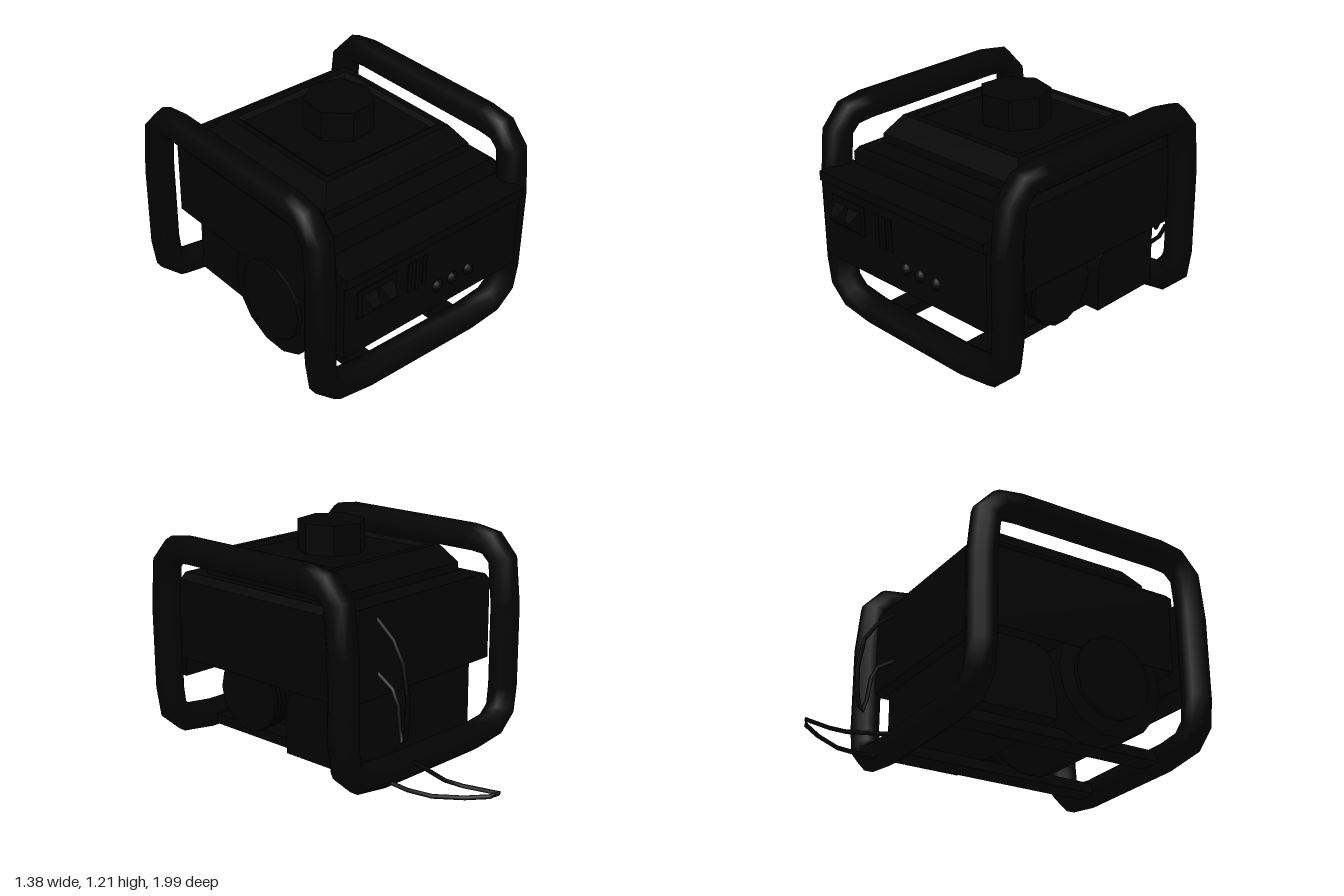
import * as THREE from 'three';

const material = new THREE.MeshStandardMaterial({ color: 0x030303 });
const flat = new THREE.MeshStandardMaterial({ color: 0x030303, flatShading: true });

// Curve through corner points, sampled exactly at each corner
class CornerPath extends THREE.Curve {
  constructor(points, closed) {
    super();
    this.points = closed ? [...points, points[0]] : points;
  }
  getPoint(t, target = new THREE.Vector3()) {
    const n = this.points.length - 1;
    const i = Math.min(Math.floor(t * n + 1e-9), n - 1);
    return target.lerpVectors(this.points[i], this.points[i + 1], t * n - i);
  }
  getPointAt(t, target) { return this.getPoint(t, target); }
  getTangentAt(t, target) { return this.getTangent(t, target); }
}

// Stack of rectangles [y, halfX, halfZ], closed at both ends
function loft(rings) {
  const corners = rings.map(([y, a, b]) => [[-a, y, b], [a, y, b], [a, y, -b], [-a, y, -b]]);
  const pos = [];
  const quad = (a, b, c, d) => pos.push(...a, ...b, ...c, ...a, ...c, ...d);
  for (let r = 0; r < corners.length - 1; r++) {
    for (let i = 0; i < 4; i++) {
      const j = (i + 1) % 4;
      quad(corners[r][i], corners[r][j], corners[r + 1][j], corners[r + 1][i]);
    }
  }
  quad(...corners[corners.length - 1]);
  quad(...[...corners[0]].reverse());
  const geo = new THREE.BufferGeometry();
  geo.setAttribute('position', new THREE.Float32BufferAttribute(pos, 3));
  geo.computeVertexNormals();
  return geo;
}

export function createModel() {
  const model = new THREE.Group();
  model.name = 'generator';
  const add = (name, geo, x = 0, y = 0, z = 0, mat = flat) => {
    const mesh = new THREE.Mesh(geo, mat);
    mesh.name = name;
    mesh.position.set(x, y, z);
    model.add(mesh);
    return mesh;
  };
  const box = (name, x0, x1, y0, y1, z0, z1) =>
    add(name, new THREE.BoxGeometry(x1 - x0, y1 - y0, z1 - z0),
      (x0 + x1) / 2, (y0 + y1) / 2, (z0 + z1) / 2);

  // Tubular frame: one closed loop from a mirrored quarter, slightly skewed
  const quarter = [
    [0.34, 0.077, 0.64], [0.52, 0.1, 0.64], [0.598, 0.17, 0.64], [0.615, 0.3, 0.64],
    [0.615, 0.75, 0.64], [0.615, 0.99, 0.615], [0.615, 1.068, 0.54], [0.615, 1.083, 0.43],
  ];
  const part = (sx, sz) => quarter.map(([x, y, z]) =>
    new THREE.Vector3(sx * x, y, 0.192 + sz * z + sx * x * 0.02));
  const loop = [...part(1, 1), ...part(1, -1).reverse(), ...part(-1, -1), ...part(-1, 1).reverse()];
  add('frame', new THREE.TubeGeometry(new CornerPath(loop, true), loop.length, 0.077, 10, true),
    0, 0, 0, material);

  // Base rails
  for (const x of [0.29, -0.29]) box('baseRail', x - 0.065, x + 0.065, 0.035, 0.09, -0.45, 0.83);

  // Body, fuel tank with sunken top, and filler cap
  add('body', loft([[0.47, 0.55, 0.595], [0.9, 0.55, 0.595], [0.935, 0.515, 0.59]]), 0.025, 0, 0.175);
  add('fuelTank', loft([
    [0.92, 0.47, 0.457], [0.98, 0.47, 0.457], [1.08, 0.395, 0.385],
    [1.08, 0.36, 0.345], [1.06, 0.335, 0.32],
  ]), 0.025, 0, 0.185);
  add('fillerCap', new THREE.CylinderGeometry(0.18, 0.18, 0.165, 7), 0.033, 1.135, 0.188)
    .rotation.y = -0.3;

  // Control panel with top lip
  box('controlPanel', -0.578, 0.575, 0.37, 0.835, 0.75, 0.938);
  box('panelLip', -0.578, 0.575, 0.785, 0.835, 0.9, 0.953);
  box('switchPlate', -0.5, -0.26, 0.57, 0.73, 0.93, 0.944);
  for (const x of [-0.432, -0.327]) {
    add('rockerSwitch', loft([[0, 0.042, 0.06], [0.02, 0.04, 0.055], [0.063, 0.022, 0.008]]),
      x, 0.64, 0.937).rotation.x = Math.PI / 2;
  }
  for (const x of [-0.17, -0.12, -0.075]) box('ventRib', x - 0.012, x + 0.012, 0.555, 0.73, 0.93, 0.943);
  for (const x of [0.025, 0.125, 0.235]) {
    add('indicator', new THREE.SphereGeometry(0.036, 12, 8), x, 0.5, 0.925, material);
  }

  // Engine lying along x: starter on the right, cooling rings on the left
  const drum = (name, x0, x1, r) =>
    add(name, new THREE.CylinderGeometry(r, r, x1 - x0, 14), (x0 + x1) / 2, 0.34, 0.35)
      .rotation.z = Math.PI / 2;
  drum('starterCover', -0.545, -0.48, 0.22);
  drum('starterHousing', -0.52, -0.33, 0.31);
  drum('engineBlock', -0.33, 0.21, 0.29);
  drum('alternator', 0.21, 0.495, 0.19);
  for (let i = 0; i < 4; i++) drum('coolingRing', 0.395 + i * 0.029, 0.414 + i * 0.029, 0.2);

  // Rear housing with rounded top front edge
  const profile = [[-0.355, 0.09], [0.07, 0.09], [0.07, 0.33], [0.055, 0.39], [0.015, 0.44],
    [-0.05, 0.47], [-0.355, 0.48]].map(([z, y]) => new THREE.Vector2(z, y));
  const housing = new THREE.ExtrudeGeometry(new THREE.Shape(profile), { depth: 0.95, bevelEnabled: false });
  housing.rotateY(-Math.PI / 2);
  add('rearHousing', housing, 0.5, 0, 0);

  // Loose cables at the back
  const cable = (name, points) => {
    const path = new CornerPath(points.map((p) => new THREE.Vector3(...p)), false);
    add(name, new THREE.TubeGeometry(path, points.length - 1, 0.012, 6), 0, 0, 0, material);
  };
  cable('hangingCable', [
    [0.355, 0.88, -0.4], [0.355, 0.78, -0.52], [0.36, 0.68, -0.585], [0.36, 0.52, -0.615],
    [0.36, 0.38, -0.613], [0.355, 0.3, -0.6], [0.355, 0.275, -0.58], [0.35, 0.34, -0.56],
    [0.345, 0.46, -0.545], [0.345, 0.53, -0.51], [0.345, 0.6, -0.4],
  ]);
  cable('groundCable', [
    [0.15, 0.11, -0.35], [0.175, 0.1, -0.52], [0.207, 0.078, -0.73], [0.19, 0.072, -0.83],
    [0.11, 0.055, -0.99], [0.16, 0.047, -0.965], [0.23, 0.035, -0.87], [0.305, 0.026, -0.73],
    [0.335, 0.03, -0.6], [0.34, 0.04, -0.5], [0.34, 0.1, -0.35],
  ]);

  return model;
}
